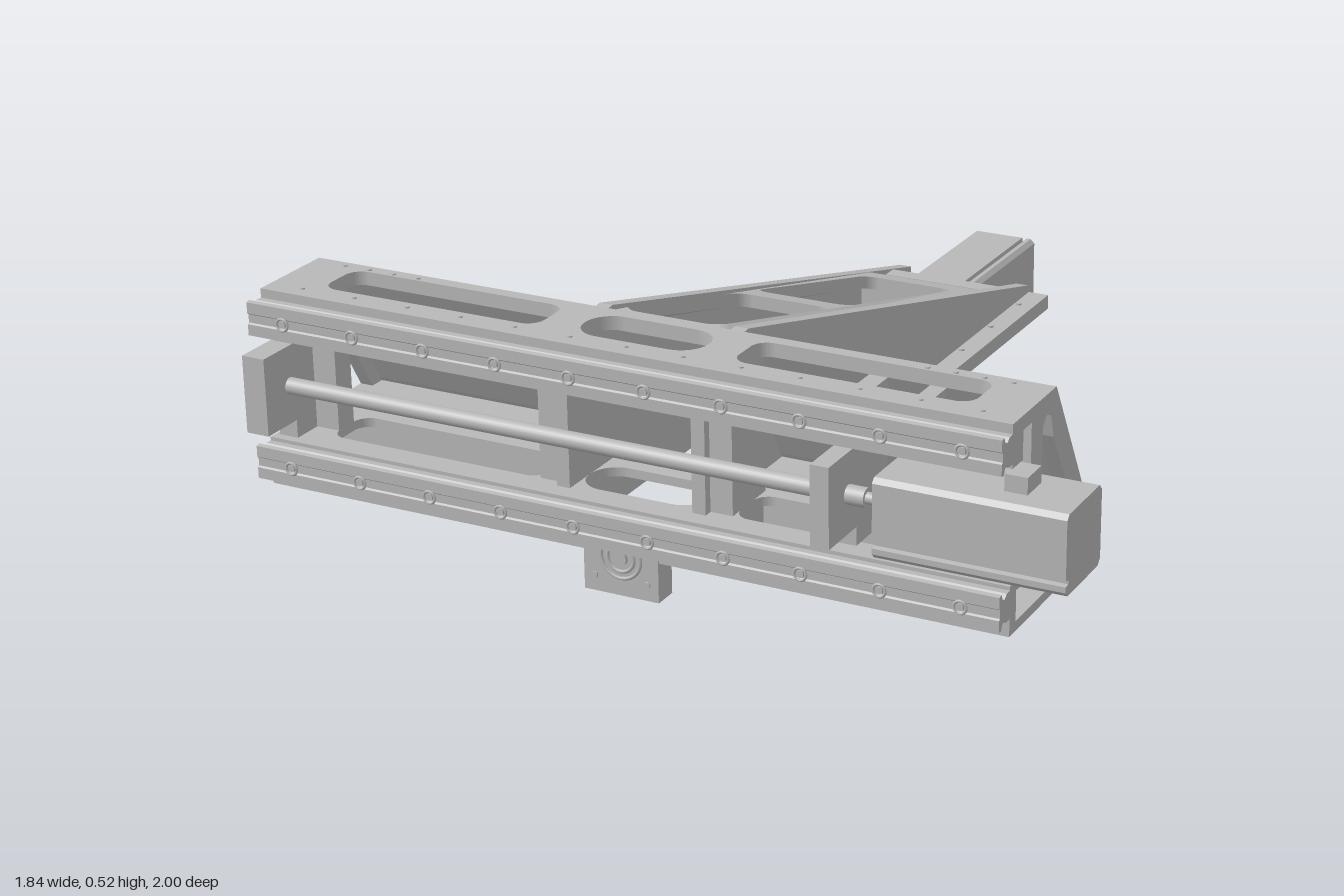
import * as THREE from 'three';

const metal = new THREE.MeshStandardMaterial({ color: 0xb8b8b8 });
metal.name = 'machined grey';

// Height of the arm's sloping top at depth z
const slopeY = (z) => 0.52 - 0.264 * Math.max(0, 0.69 - z);

export function createModel() {
  const root = new THREE.Group();
  root.name = 'crossSlideSaddle';

  const add = (name, geo) => {
    const m = new THREE.Mesh(geo, metal);
    m.name = name;
    root.add(m);
    return m;
  };
  const box = (name, x0, x1, y0, y1, z0, z1) =>
    add(name, new THREE.BoxGeometry(x1 - x0, y1 - y0, z1 - z0)
      .translate((x0 + x1) / 2, (y0 + y1) / 2, (z0 + z1) / 2));
  const cyl = (name, r, len, axis, x, y, z, sides = 24) => {
    const g = new THREE.CylinderGeometry(r, r, len, sides);
    if (axis === 'x') g.rotateZ(Math.PI / 2);
    if (axis === 'z') g.rotateX(Math.PI / 2);
    return add(name, g.translate(x, y, z));
  };

  // Cross-section given as [z, y] points, swept along x
  const sweepX = (name, pts, x0, x1) => {
    const s = new THREE.Shape(pts.map(([z, y]) => new THREE.Vector2(-z, y)));
    const g = new THREE.ExtrudeGeometry(s, { depth: x1 - x0, bevelEnabled: false });
    return add(name, g.rotateY(Math.PI / 2).translate(x0, 0, 0));
  };

  // Rounded opening in plan
  const slot = ([x0, x1, z0, z1, r]) => {
    const p = new THREE.Path();
    const h = Math.PI / 2;
    p.absarc(x1 - r, -z0 - r, r, 0, h);
    p.absarc(x0 + r, -z0 - r, r, h, 2 * h);
    p.absarc(x0 + r, -z1 + r, r, 2 * h, 3 * h);
    p.absarc(x1 - r, -z1 + r, r, 3 * h, 4 * h);
    p.closePath();
    return p;
  };
  // Horizontal plate with openings
  const plateGeo = (x0, x1, z0, z1, y, t, slots) => {
    const s = new THREE.Shape([[x0, -z1], [x1, -z1], [x1, -z0], [x0, -z0]]
      .map((p) => new THREE.Vector2(...p)));
    s.holes = slots.map(slot);
    return new THREE.ExtrudeGeometry(s, { depth: t, bevelEnabled: false, curveSegments: 8 })
      .rotateX(-Math.PI / 2).translate(0, y, 0);
  };

  // ---- Crossbeam ----
  const L = -0.91, R = 0.77;
  const slots = [[-0.8, -0.29, 0.74, 0.86, 0.035], [-0.21, 0.07, 0.74, 0.86, 0.058],
    [0.15, 0.66, 0.74, 0.86, 0.035]];
  add('topPlate', plateGeo(L, R, 0.71, 0.92, 0.49, 0.03, slots));
  add('lowerDeck', plateGeo(L, R, 0.7, 0.92, 0.17, 0.02, slots));
  add('bottomPlate', plateGeo(L, R, 0.7, 0.92, 0.085, 0.02, slots));
  box('upperFrontWall', L, R, 0.43, 0.495, 0.87, 0.92);
  box('lowerFrontWall', L, R, 0.09, 0.185, 0.89, 0.92);

  // Rear half of the beam on either side of the arm
  for (const [x0, x1] of [[L, -0.22], [0.08, R]]) {
    sweepX('slopingBackPlate', [[0.5, 0.085], [0.53, 0.085], [0.53, 0.16], [0.555, 0.2],
      [0.72, 0.49], [0.74, 0.49], [0.74, 0.52], [0.71, 0.52], [0.5, 0.15]], x0, x1);
    box('rearDeck', x0, x1, 0.17, 0.19, 0.52, 0.71);
    box('rearBottom', x0, x1, 0.085, 0.105, 0.52, 0.71);
    box('middleRib', x0, x1, 0.1, 0.175, 0.7, 0.73);
  }
  // End posts and triangular end frames
  for (const [x0, x1, e0, e1] of [[L, -0.8, L, L + 0.03], [0.66, R, R - 0.03, R]]) {
    box('endPost', x0, x1, 0.19, 0.49, 0.775, 0.83);
    sweepX('endFrame', [[0.53, 0.19], [0.585, 0.19], [0.72, 0.42], [0.735, 0.47], [0.755, 0.48],
      [0.775, 0.46], [0.775, 0.49], [0.72, 0.49]], e0, e1);
  }
  // Pillars flanking the arm opening
  for (const [x0, x1] of [[-0.29, -0.21], [0.07, 0.15]]) {
    box('pillar', x0, x1, 0.105, 0.49, 0.72, 0.86);
  }

  // Guide rails with bolts
  for (const y of [0.47, 0.152]) {
    const half = [[0.92, 0.03], [0.935, 0.03], [0.945, 0.022], [0.955, 0.026], [0.96, 0.038],
      [0.97, 0.036], [0.97, 0.012], [0.966, 0.009]];
    const pts = [...half.map(([z, d]) => [z, y + d]),
      ...half.slice().reverse().map(([z, d]) => [z, y - d])];
    sweepX('guideRail', pts, L, R);
    for (let i = 0; i < 10; i++) {
      const x = -0.825 + i * 0.1683;
      add('boltRing', new THREE.TorusGeometry(0.013, 0.003, 6, 20).translate(x, y, 0.97));
      cyl('boltHead', 0.008, 0.008, 'z', x, y, 0.967, 6);
    }
  }
  // Small screws on the top plate
  for (let i = 0; i < 13; i++) {
    cyl('topScrew', 0.005, 0.004, 'y', -0.83 + i * 0.127, 0.521, 0.885, 10);
  }
  for (const x of [-0.83, -0.77, -0.71, -0.65, 0.51, 0.57, 0.63, 0.69]) {
    cyl('topScrew', 0.005, 0.004, 'y', x, 0.521, 0.73, 10);
  }

  // ---- Horizontal screw drive ----
  cyl('leadScrew', 0.018, 1.27, 'x', -0.225, 0.313, 0.915);
  box('leftBearingBlock', -0.908, -0.855, 0.23, 0.4, 0.83, 1.0);
  box('leftBearingFoot', -0.9, -0.855, 0.19, 0.43, 0.78, 0.9);
  cyl('screwNub', 0.015, 0.02, 'x', -0.912, 0.313, 0.915);
  box('rightBearingBlock', 0.39, 0.43, 0.23, 0.4, 0.83, 1.0);
  box('rightBearingFoot', 0.39, 0.43, 0.19, 0.49, 0.74, 0.88);
  cyl('couplingNeck', 0.02, 0.04, 'x', 0.45, 0.313, 0.915);
  cyl('coupling', 0.012, 0.08, 'x', 0.49, 0.313, 0.915);
  box('motorMount', 0.52, 0.555, 0.19, 0.49, 0.74, 0.85);
  sweepX('crossMotor', [[0.842, 0.23], [0.99, 0.23], [1.0, 0.24], [1.0, 0.252], [0.988, 0.254],
    [0.988, 0.262], [1.0, 0.264], [1.0, 0.385], [0.99, 0.395], [0.842, 0.395], [0.83, 0.383],
    [0.83, 0.242]], 0.52, 0.914);
  box('crossMotorPlug', 0.765, 0.812, 0.39, 0.43, 0.88, 0.945);

  // ---- Arm ----
  const armWall = [[0.88, 0.085], [0.88, 0.5], [0.69, 0.52], [-0.755, slopeY(-0.755)],
    [-0.755, 0.085]];
  for (const [wall, f0, f1, hx] of [[-0.24, -0.29, -0.21, -0.252], [0.07, 0.07, 0.15, 0.112]]) {
    sweepX('armWall', armWall, wall, wall + 0.03);
    box('armFlange', f0, f1, 0.085, 0.12, -0.76, 0.52);
    for (let i = 0; i < 8; i++) {
      cyl('flangeScrew', 0.007, 0.006, 'y', hx, 0.121, -0.67 + i * 0.168, 12);
    }
  }
  // Sloping arm cover with two windows
  const cover = plateGeo(-0.215, 0.075, -0.52, 0.74, 0, 0.03,
    [[-0.183, 0.043, -0.44, 0.12, 0.035], [-0.183, 0.043, 0.2, 0.7, 0.035]]);
  const p = cover.attributes.position;
  for (let i = 0; i < p.count; i++) {
    const z = p.getZ(i);
    p.setY(i, p.getY(i) + 0.489 - 0.264 * Math.max(0.0, 0.69 - z));
  }
  cover.computeVertexNormals();
  add('armCover', cover);

  // ---- Lower screw drive along the arm ----
  const cx = -0.07, cy = 0.083;
  box('frontBearingBlock', cx - 0.085, cx + 0.085, 0, 0.12, 0.87, 0.925);
  for (const r of [0.045, 0.03]) {
    add('bearingRing', new THREE.TorusGeometry(r, 0.004, 6, 28).translate(cx, cy, 0.925));
  }
  cyl('bearingCore', 0.016, 0.015, 'z', cx, cy, 0.925);
  for (const sx of [-1, 1]) {
    cyl('bearingBolt', 0.007, 0.006, 'z', cx + sx * 0.06, 0.035, 0.926, 10);
  }
  box('rearBearingBlock', cx - 0.085, cx + 0.085, 0, 0.12, -0.515, -0.475);
  box('rearBearingBridge', -0.215, 0.075, 0.09, 0.18, -0.515, -0.475);
  box('motorBridge', -0.215, 0.075, 0.065, 0.165, -0.65, -0.61);
  cyl('motorShaft', 0.017, 0.06, 'z', cx, cy, -0.595);
  const prof = [[-0.0825, 0.01], [-0.0725, 0], [0.0725, 0], [0.0825, 0.01], [0.0825, 0.155],
    [0.0725, 0.165], [0.062, 0.165], [0.06, 0.153], [0.052, 0.153], [0.05, 0.165],
    [-0.0725, 0.165], [-0.0825, 0.155]];
  const motor = new THREE.Shape(prof.map(([x, y]) => new THREE.Vector2(cx + x, y)));
  add('armMotor', new THREE.ExtrudeGeometry(motor, { depth: 0.36, bevelEnabled: false })
    .translate(0, 0, -1));
  box('armMotorPlug', -0.187, -0.15, 0.06, 0.11, -0.905, -0.85);

  return root;
}
